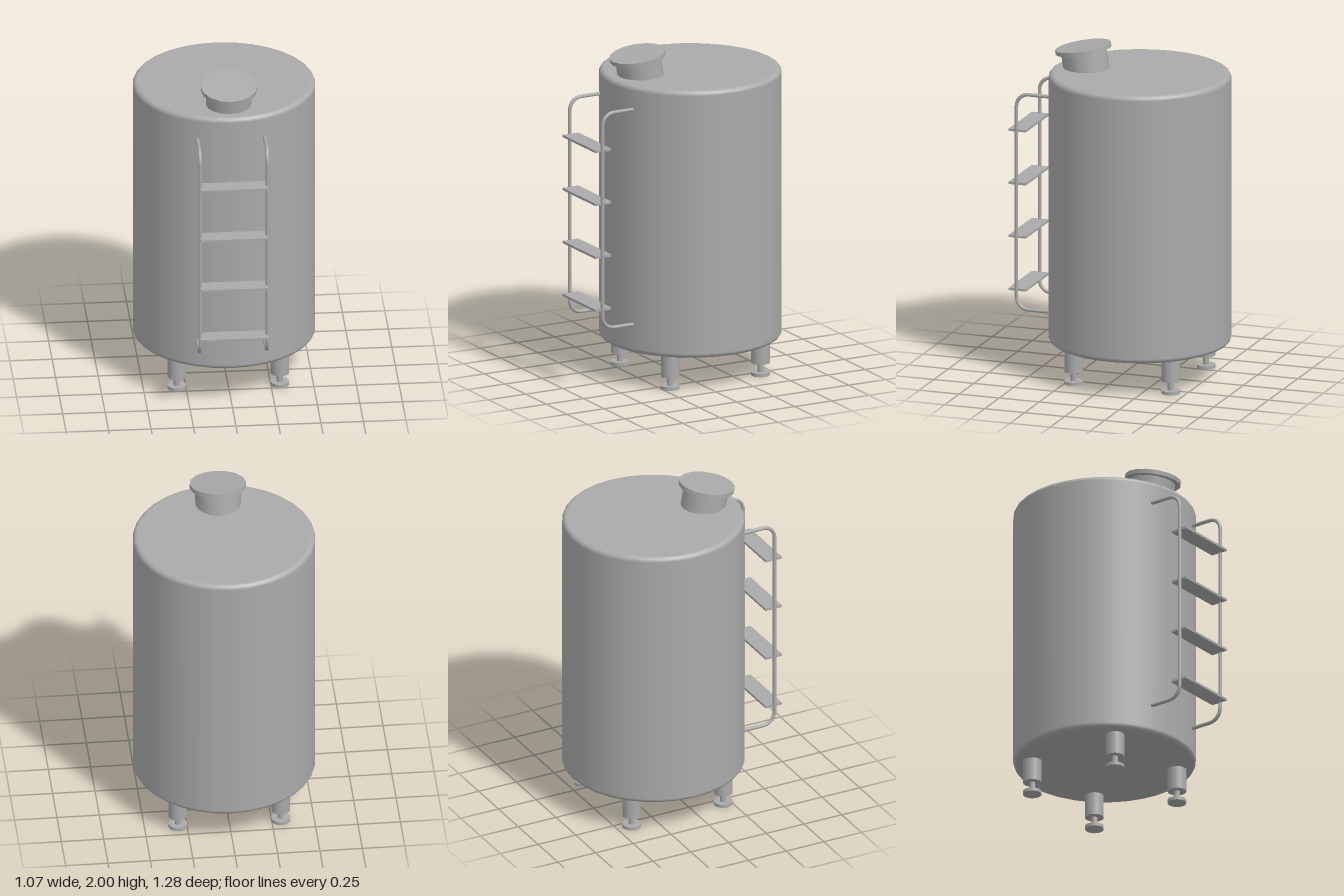
import * as THREE from 'three';

const steel = new THREE.MeshStandardMaterial({ color: 0xaaaaaa });
steel.name = 'brushed steel grey';

const TANK_Z = -0.105;

function add(parent, name, geometry, x = 0, y = 0, z = 0) {
  const mesh = new THREE.Mesh(geometry, steel);
  mesh.name = name;
  mesh.position.set(x, y, z);
  parent.add(mesh);
  return mesh;
}

// Closed drum with rounded top and bottom rims
function tankGeometry(radius, bottom, top, round) {
  const profile = [new THREE.Vector2(0, bottom)];
  const steps = 5;
  for (const [cy, start] of [[bottom + round, -Math.PI / 2], [top - round, 0]]) {
    for (let i = 0; i <= steps; i++) {
      const a = start + (i / steps) * Math.PI / 2;
      profile.push(new THREE.Vector2(radius - round + Math.cos(a) * round, cy + Math.sin(a) * round));
    }
  }
  profile.push(new THREE.Vector2(0, top));
  return new THREE.LatheGeometry(profile, 32);
}

// Ladder rail: a bar bent back into the tank at both ends
function railGeometry() {
  const low = 0.391, high = 1.701, back = 0.385, front = 0.594, r = 0.075;
  const v = (y, z) => new THREE.Vector3(0, y, z);
  const path = new THREE.CurvePath();
  const points = [v(low, back), v(low, front - r)];
  const bend = (cy, from, to) => {
    for (let i = 1; i <= 6; i++) {
      const a = from + (to - from) * i / 6;
      points.push(v(cy + Math.sin(a) * r, front - r + Math.cos(a) * r));
    }
  };
  bend(low + r, -Math.PI / 2, 0);
  points.push(v(high - r, front));
  bend(high - r, 0, Math.PI / 2);
  points.push(v(high, back));
  for (let i = 1; i < points.length; i++) path.add(new THREE.LineCurve3(points[i - 1], points[i]));
  return new THREE.TubeGeometry(path, 160, 0.011, 10);
}

export function createModel() {
  const model = new THREE.Group();
  model.name = 'storageTank';

  add(model, 'tankBody', tankGeometry(0.537, 0.215, 1.845, 0.03), 0, 0, TANK_Z);

  // Tilted filling hatch, leaning towards the ladder
  const hatch = new THREE.Group();
  hatch.name = 'hatch';
  hatch.position.set(0, 1.973, 0.251);
  hatch.rotation.x = THREE.MathUtils.degToRad(9.7);
  add(hatch, 'hatchLid', new THREE.CylinderGeometry(0.166, 0.166, 0.026, 16), 0, -0.013, 0);
  add(hatch, 'hatchNeck', new THREE.CylinderGeometry(0.135, 0.135, 0.15, 16), 0, -0.1, 0);
  model.add(hatch);

  // Ladder with two rails and four flat treads
  const ladder = new THREE.Group();
  ladder.name = 'ladder';
  const rail = railGeometry();
  for (const side of [-1, 1]) add(ladder, side > 0 ? 'leftRail' : 'rightRail', rail, side * 0.198, 0, 0);
  const tread = new THREE.BoxGeometry(0.396, 0.014, 0.107);
  for (let i = 0; i < 4; i++) add(ladder, 'tread', tread, 0, 0.507 + i * 0.323, 0.589);
  model.add(ladder);

  // Four adjustable feet
  const sleeve = new THREE.CylinderGeometry(0.055, 0.055, 0.15, 20);
  const stem = new THREE.CylinderGeometry(0.018, 0.018, 0.07, 12);
  const pad = new THREE.CylinderGeometry(0.055, 0.055, 0.02, 20);
  for (const sx of [-1, 1]) {
    for (const sz of [-1, 1]) {
      const leg = new THREE.Group();
      leg.name = (sz > 0 ? 'front' : 'back') + (sx > 0 ? 'Left' : 'Right') + 'Leg';
      leg.position.set(sx * 0.303, 0, TANK_Z + sz * 0.303);
      add(leg, 'legSleeve', sleeve, 0, 0.15, 0);
      add(leg, 'legStem', stem, 0, 0.05, 0);
      add(leg, 'footPad', pad, 0, 0.01, 0);
      model.add(leg);
    }
  }
  return model;
}
